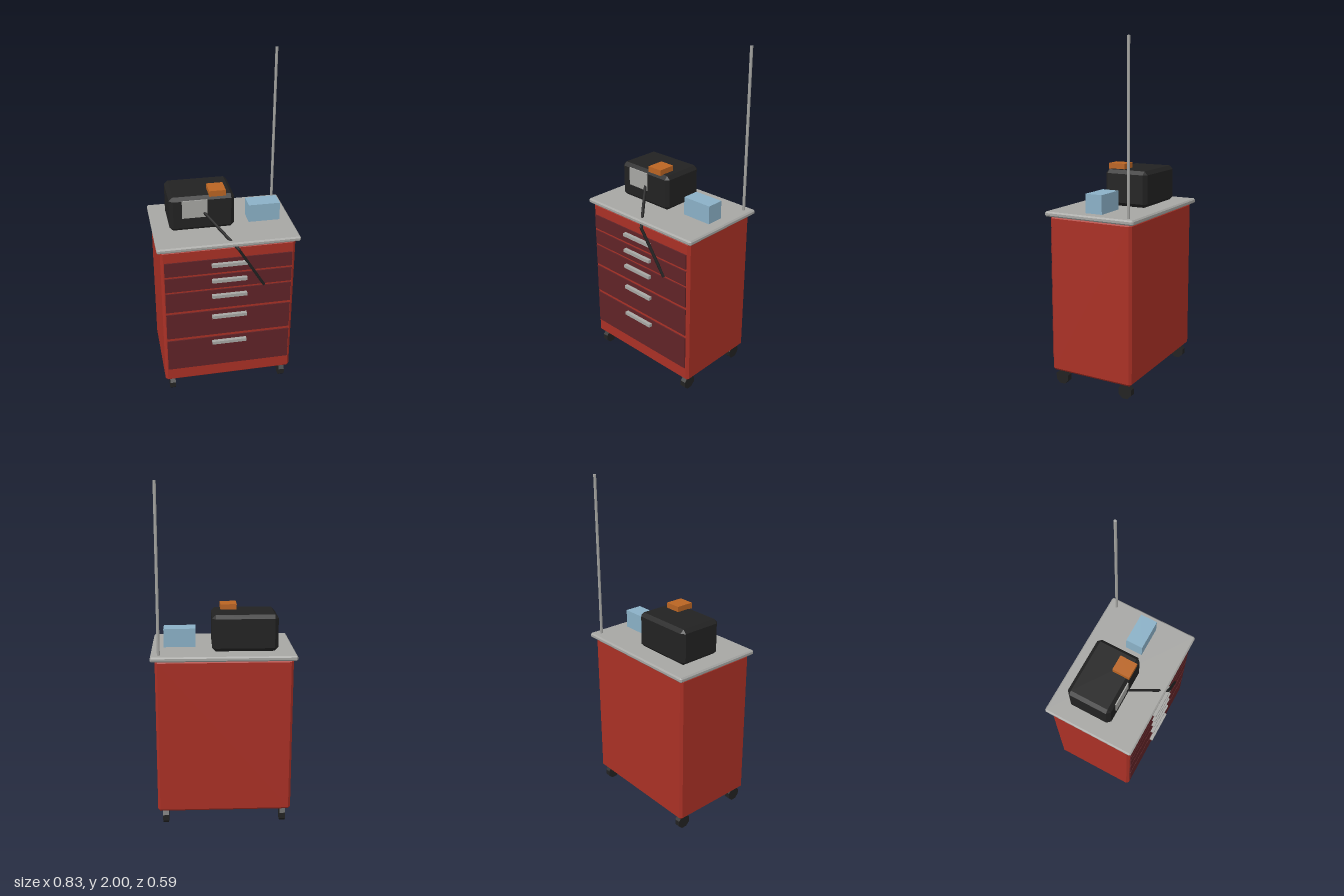
import * as THREE from 'three';
import { ConvexGeometry } from 'three/addons/geometries/ConvexGeometry.js';

const paint = (name, color) => {
  const m = new THREE.MeshStandardMaterial({ color });
  m.name = name;
  return m;
};

// Box between two corners with all edges chamfered by c
function chamferBox(min, max, c) {
  const centre = min.map((v, i) => (v + max[i]) / 2);
  const half = min.map((v, i) => (max[i] - v) / 2);
  const points = [];
  for (const sx of [-1, 1]) for (const sy of [-1, 1]) for (const sz of [-1, 1]) {
    for (let face = 0; face < 3; face++) {
      const p = [sx, sy, sz].map((s, i) => centre[i] + s * (half[i] - (i === face ? 0 : c)));
      points.push(new THREE.Vector3(...p));
    }
  }
  return new ConvexGeometry(points);
}

// Plain box between two corners
function box(min, max) {
  const size = min.map((v, i) => max[i] - v);
  return new THREE.BoxGeometry(...size).translate(...min.map((v, i) => (v + max[i]) / 2));
}

export function createModel() {
  const red = paint('cabinet red', 0xa93025);
  const maroon = paint('drawer maroon', 0x602327);
  const grey = paint('counter grey', 0xa6a6a3);
  const black = paint('black plastic', 0x222222);
  const blue = paint('box blue', 0x8ab0c6);
  const orange = paint('orange', 0xb96423);

  const model = new THREE.Group();
  const add = (name, geometry, material) => {
    const mesh = new THREE.Mesh(geometry, material);
    mesh.name = name;
    model.add(mesh);
    return mesh;
  };

  // Cabinet and worktop
  add('cabinet', chamferBox([-0.397, 0.087, -0.27], [0.39, 1.015, 0.255], 0.014), red);
  add('worktop', chamferBox([-0.417, 1.013, -0.294], [0.415, 1.042, 0.274], 0.008), grey);

  // Drawer fronts and handles: bottom, top, handle height
  const drawers = [
    [0.85, 0.94, 0.907], [0.745, 0.836, 0.802], [0.603, 0.732, 0.695],
    [0.412, 0.585, 0.55], [0.18, 0.392, 0.36],
  ];
  for (const [low, high, grip] of drawers) {
    add('drawerFront', box([-0.378, low, 0.25], [0.371, high, 0.262]), maroon);
    add('drawerHandle', box([-0.106, grip - 0.01, 0.26], [0.102, grip + 0.01, 0.283]), grey);
  }

  // Eight-sided wheels
  for (const x of [-0.352, 0.345]) for (const z of [0.205, -0.217]) {
    const wheel = new THREE.CylinderGeometry(0.044, 0.044, 0.034, 8).rotateY(Math.PI / 8).rotateZ(Math.PI / 2);
    add('wheel', wheel.translate(x, 0.041, z).toNonIndexed(), black).geometry.computeVertexNormals();
  }

  // Monitor with its screen and the block lying on it
  add('monitor', chamferBox([-0.317, 1.042, -0.19], [0.063, 1.255, 0.085], 0.021), black);
  add('screen', box([-0.245, 1.128, 0.083], [-0.098, 1.237, 0.09]), grey);
  add('topBlock', box([-0.086, 1.252, -0.021], [0.01, 1.287, 0.086]), orange);

  // Supply box and pole
  add('supplyBox', box([0.157, 1.04, -0.063], [0.345, 1.152, 0.042]), blue);
  add('pole', new THREE.CylinderGeometry(0.009, 0.009, 0.96, 5).rotateY(Math.PI).translate(0.368, 1.52, -0.243), grey);

  // Cable hanging from the monitor over the front edge
  const cable = [[-0.118, 1.155, 0.082], [0.048, 1.003, 0.283], [0.203, 0.742, 0.264]]
    .map((p) => new THREE.Vector3(...p));
  for (let i = 0; i < 2; i++) {
    const run = cable[i + 1].clone().sub(cable[i]);
    const mesh = add('cable', new THREE.CylinderGeometry(0.009, 0.009, run.length() + 0.008, 6), black);
    mesh.position.copy(cable[i]).addScaledVector(run, 0.5);
    mesh.quaternion.setFromUnitVectors(new THREE.Vector3(0, 1, 0), run.normalize());
  }

  return model;
}
